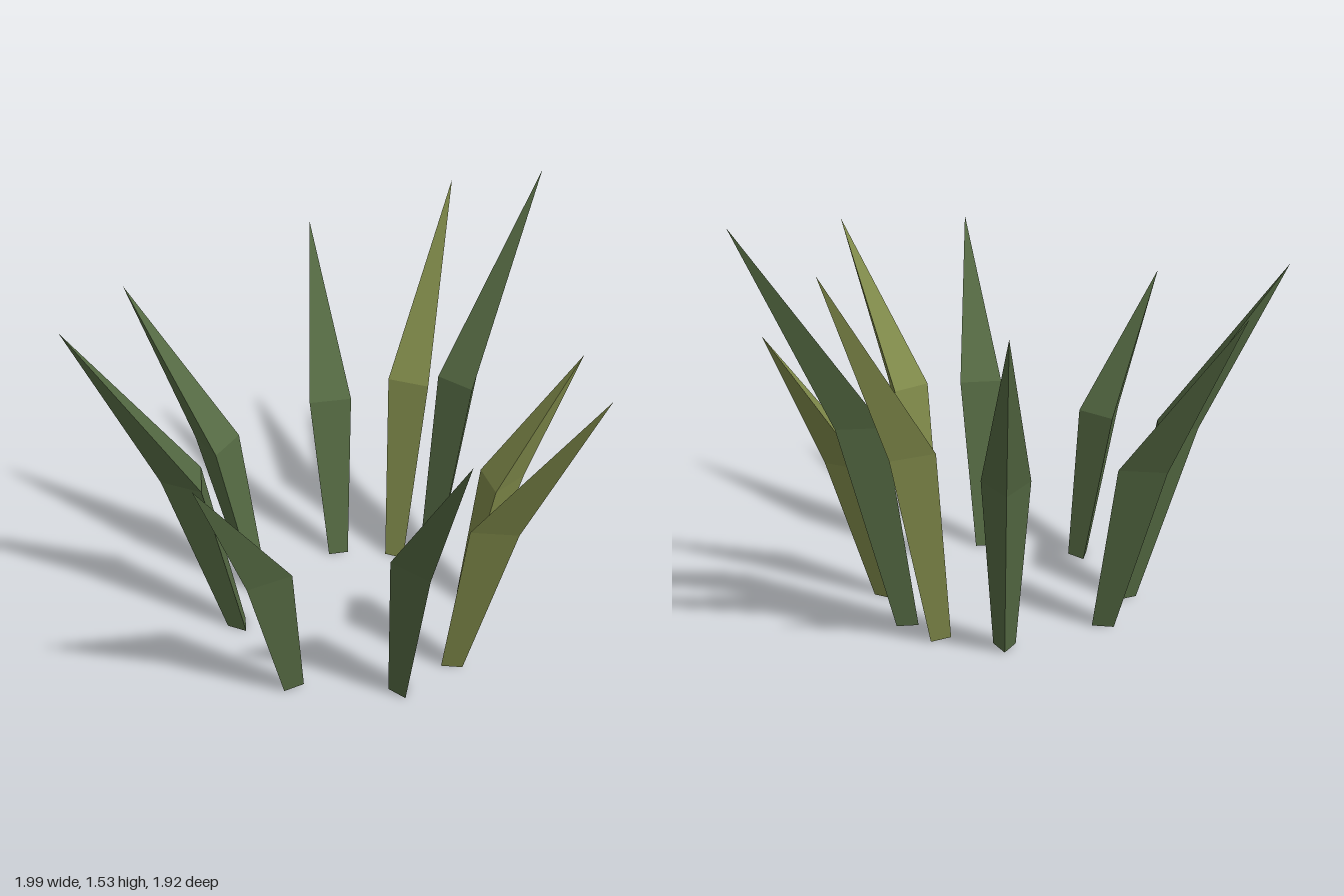
import * as THREE from 'three';

const green = new THREE.MeshStandardMaterial({ color: 0x556a43 });
green.name = 'leafGreen';
const olive = new THREE.MeshStandardMaterial({ color: 0x7e8849 });
olive.name = 'oliveGreen';

// base x, base z, tip x, tip height, tip z, material
const BLADES = [
  [0.357, -0.037, 0.993, 1.53, -0.037, green],
  [0.329, -0.195, 0.892, 1.43, -0.397, olive],
  [0.183, -0.394, 0.5, 1.265, -0.814, green],
  [-0.214, -0.47, -0.347, 1.225, -0.964, green],
  [-0.431, -0.344, -0.83, 1.3, -0.704, green],
  [-0.543, 0.045, -1.0, 1.11, 0.125, green],
  [-0.304, 0.37, -0.55, 1.28, 0.838, green],
  [-0.06, 0.415, -0.01, 1.31, 0.957, olive],
  [0.286, 0.208, 0.645, 1.03, 0.437, olive],
];

// Rows from base to tip: height fraction, outward lean fraction, radius
const ROWS = [[0, 0, 0.046], [0.525, 0.283, 0.097], [1, 1, 0]];

// Three-sided blade: narrow foot, wide middle, pointed tip, ridge facing outward
function bladeGeometry(lean, height) {
  const geo = new THREE.CylinderGeometry(0, 1, 2, 3, 2);
  const pos = geo.attributes.position;
  for (let i = 0; i < pos.count; i++) {
    const row = Math.round(pos.getY(i)) + 1;
    const [h, out, radius] = ROWS[row];
    const r = Math.hypot(pos.getX(i), pos.getZ(i));
    const k = r > 1e-6 ? radius / r : 0;
    pos.setXYZ(i, pos.getX(i) * k, h * height, pos.getZ(i) * k + out * lean);
  }
  const flat = geo.toNonIndexed();
  flat.computeVertexNormals();
  return flat;
}

export function createModel() {
  const plant = new THREE.Group();
  plant.name = 'grassTuft';
  BLADES.forEach(([bx, bz, tx, height, tz, material], i) => {
    const dx = tx - bx, dz = tz - bz;
    const blade = new THREE.Mesh(bladeGeometry(Math.hypot(dx, dz), height), material);
    blade.name = `blade${i + 1}`;
    blade.position.set(bx, 0, bz);
    blade.rotation.y = Math.atan2(dx, dz);
    plant.add(blade);
  });
  return plant;
}
